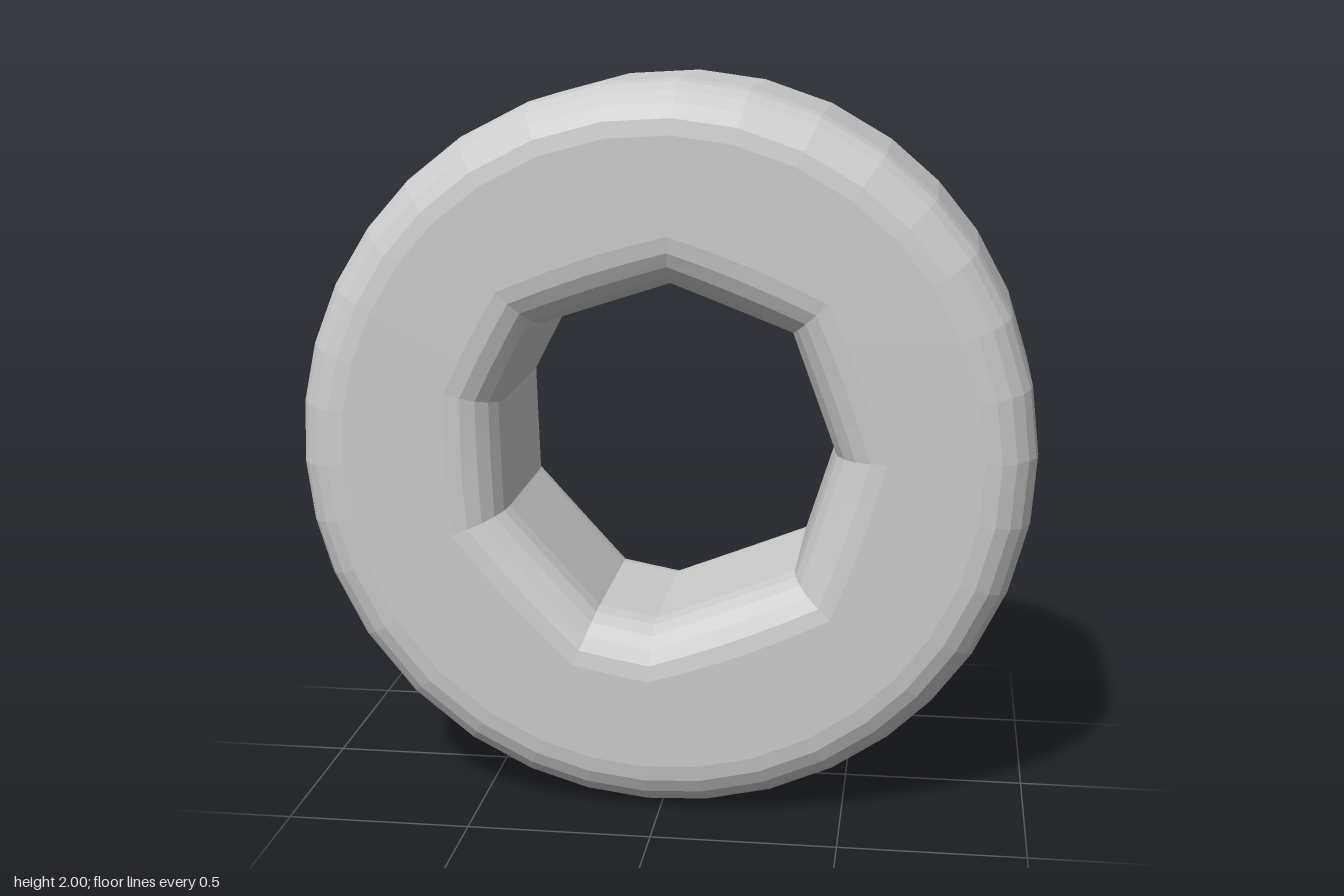
import * as THREE from 'three';

const HALF = 0.355;      // half the ring's thickness
const ROUND = 0.14;      // radius of the rounded rims
const STEPS = 5;         // segments per rounded rim

// Corners of the faceted hole, relative to the ring's centre
const HOLE = [
  [0.465, 0.01], [0.345, 0.335], [0.02, 0.46], [-0.33, 0.345], [-0.44, 0.13],
  [-0.43, -0.17], [-0.18, -0.445], [-0.02, -0.475], [0.36, -0.325],
];

// Hole corners plus points between them, as angle and radius
function spokes() {
  const list = [];
  HOLE.forEach(([x0, y0], i) => {
    const [x1, y1] = HOLE[(i + 1) % HOLE.length];
    const n = Math.max(1, Math.round(Math.hypot(x1 - x0, y1 - y0) / 0.085));
    for (let k = 0; k < n; k++) {
      const x = x0 + (x1 - x0) * k / n, y = y0 + (y1 - y0) * k / n;
      list.push({ angle: Math.atan2(y, x), inner: Math.hypot(x, y) });
    }
  });
  return list;
}

// Rounded rectangle between the hole and the tread, as [radius, z] pairs
function section(inner) {
  const corners = [
    [1 - ROUND, -1, -90], [1 - ROUND, 1, 0], [inner + ROUND, 1, 90], [inner + ROUND, -1, 180],
  ];
  const pts = [];
  for (const [r, side, start] of corners) {
    for (let k = 0; k <= STEPS; k++) {
      const t = THREE.MathUtils.degToRad(start + 90 * k / STEPS);
      pts.push([r + ROUND * Math.cos(t), side * (HALF - ROUND) + ROUND * Math.sin(t)]);
    }
  }
  return pts;
}

export function createModel() {
  const group = new THREE.Group();
  group.name = 'ring';

  // Sweep the section around the centre
  const positions = [], index = [];
  const rings = spokes();
  const m = 4 * (STEPS + 1);
  rings.forEach(({ angle, inner }, i) => {
    for (const [r, z] of section(inner)) {
      positions.push(r * Math.cos(angle), 1 + r * Math.sin(angle), z);
    }
    const next = (i + 1) % rings.length;
    for (let j = 0; j < m; j++) {
      const k = (j + 1) % m;
      const a = i * m + j, b = next * m + j, c = next * m + k, d = i * m + k;
      index.push(a, b, c, a, c, d);
    }
  });
  const geometry = new THREE.BufferGeometry();
  geometry.setAttribute('position', new THREE.Float32BufferAttribute(positions, 3));
  geometry.setIndex(index);
  geometry.computeVertexNormals();

  const body = new THREE.Mesh(
    geometry, new THREE.MeshStandardMaterial({ color: 0xcccccc, flatShading: true }));
  body.name = 'ringBody';
  group.add(body);
  return group;
}
